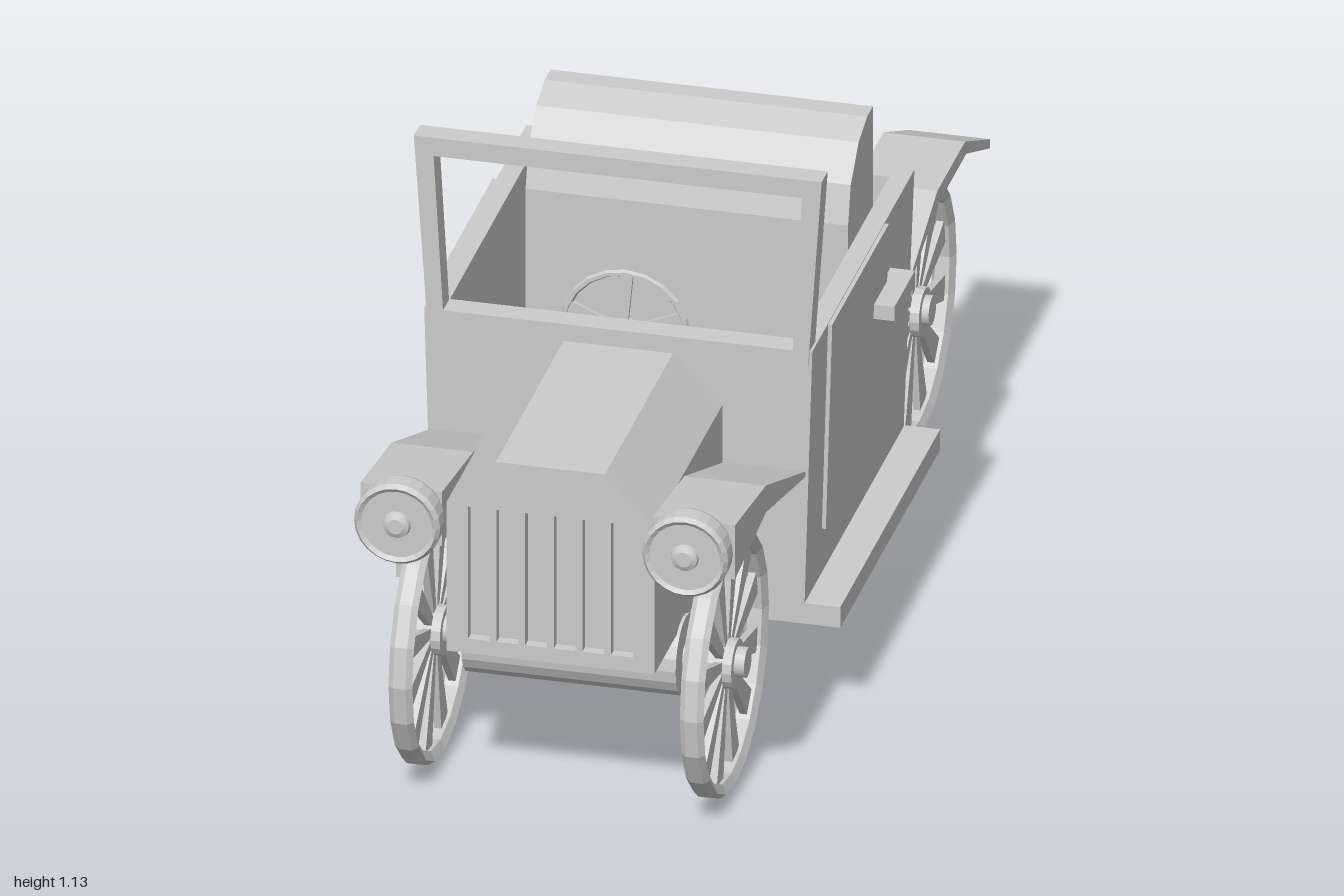
import * as THREE from 'three';

const material = new THREE.MeshStandardMaterial({ color: 0xcccccc, flatShading: true });
const smooth = new THREE.MeshStandardMaterial({ color: 0xcccccc });

function add(parent, name, geometry, mat = material) {
  const mesh = new THREE.Mesh(geometry, mat);
  mesh.name = name;
  parent.add(mesh);
  return mesh;
}

const polygon = (pts) => new THREE.Shape(pts.map(([x, y]) => new THREE.Vector2(x, y)));
const rect = (x0, y0, x1, y1) => polygon([[x0, y0], [x1, y0], [x1, y1], [x0, y1]]);
const extrude = (shape, depth) =>
  new THREE.ExtrudeGeometry(shape, { depth, bevelEnabled: false });

// Box given by its two corners
function box(x0, y0, z0, x1, y1, z1) {
  return new THREE.BoxGeometry(x1 - x0, y1 - y0, z1 - z0)
    .translate((x0 + x1) / 2, (y0 + y1) / 2, (z0 + z1) / 2);
}

// Side profile of [z, y] points, extruded from x0 to x1
function sideProfile(pts, x0, x1) {
  return extrude(polygon(pts), x1 - x0).rotateY(-Math.PI / 2).translate(x1, 0, 0);
}

// Cylinder lying across the car
function crossCylinder(radius, length, sides) {
  return new THREE.CylinderGeometry(radius, radius, length, sides).rotateZ(Math.PI / 2);
}

// Lean body sides and rear outward with height
function taper(geometry) {
  const p = geometry.attributes.position;
  for (let i = 0; i < p.count; i++) {
    const t = (p.getY(i) - 0.2) / 0.57;
    p.setX(i, p.getX(i) * (0.957 + 0.043 * t));
    if (p.getZ(i) < -0.3) p.setZ(i, p.getZ(i) - 0.025 * t);
  }
  geometry.computeVertexNormals();
  return geometry;
}

// Flat spoke pointing up, wider at the rim
function spokeGeometry(r0, r1, w0, w1, depth) {
  return extrude(polygon([[-w0, r0], [w0, r0], [w1, r1], [-w1, r1]]), depth)
    .translate(0, 0, -depth / 2);
}

function makeWheel() {
  const wheel = new THREE.Group();
  wheel.name = 'wheel';
  const profile = [[0.23, -0.014], [0.248, -0.023], [0.257, -0.012], [0.257, 0.012],
    [0.248, 0.023], [0.23, 0.014], [0.23, -0.014]].map(([r, h]) => new THREE.Vector2(r, h));
  add(wheel, 'tyre', new THREE.LatheGeometry(profile, 20).rotateZ(Math.PI / 2));
  add(wheel, 'hub', crossCylinder(0.048, 0.05, 16));
  for (let i = 0; i < 12; i++) {
    const spoke = spokeGeometry(0.035, 0.238, 0.008, 0.026, 0.014)
      .rotateY(Math.PI / 2).rotateX((i + 0.5) * Math.PI / 6);
    add(wheel, 'spoke', spoke);
  }
  return wheel;
}

function makeSteeringWheel() {
  const group = new THREE.Group();
  group.name = 'steeringWheel';
  add(group, 'steeringRim', new THREE.TorusGeometry(0.119, 0.007, 6, 20));
  add(group, 'steeringHub', new THREE.CylinderGeometry(0.022, 0.022, 0.024, 12).rotateX(Math.PI / 2));
  for (let i = 0; i < 5; i++) {
    add(group, 'steeringSpoke', spokeGeometry(0.012, 0.117, 0.005, 0.015, 0.008)
      .rotateZ(i * Math.PI * 2 / 5));
  }
  group.position.set(0, 0.742, 0.345);
  return group;
}

export function createModel() {
  const car = new THREE.Group();
  car.name = 'car';

  // Open cabin with floor and running boards
  const plan = rect(-0.373, -0.4, 0.373, 0.35);
  plan.holes.push(rect(-0.335, -0.355, 0.335, 0.31));
  add(car, 'cabin', taper(extrude(plan, 0.57).rotateX(-Math.PI / 2).translate(0, 0.2, 0)));
  add(car, 'runningBoard', box(-0.427, 0.2, -0.357, 0.427, 0.243, 0.4));

  // Windscreen frame
  const screen = polygon([[-0.366, 0.74], [0.366, 0.74], [0.392, 1.128], [-0.392, 1.128]]);
  screen.holes.push(polygon([[-0.336, 0.77], [0.336, 0.77], [0.354, 1.09], [-0.354, 1.09]]));
  add(car, 'windscreenFrame', extrude(screen, 0.046).translate(0, 0, 0.358));

  // Seat
  add(car, 'seatCushion', box(-0.31, 0.24, -0.32, 0.31, 0.5, 0.15));
  add(car, 'seatBack', sideProfile([[-0.308, 0.48], [-0.12, 0.48], [-0.12, 0.77], [-0.14, 0.845],
    [-0.2, 0.905], [-0.265, 0.927], [-0.308, 0.927]], -0.31, 0.31));
  car.add(makeSteeringWheel());

  // Bonnet with a slotted front plate
  const section = [[-0.2, 0.327], [0.2, 0.327], [0.2, 0.637], [0.105, 0.733], [-0.105, 0.733], [-0.2, 0.637]];
  add(car, 'bonnet', extrude(polygon(section), 0.495).translate(0, 0, 0.4));
  const grille = polygon(section);
  for (let i = 0; i < 6; i++) {
    const x = (i - 2.5) * 0.055;
    grille.holes.push(rect(x - 0.021, 0.357, x + 0.021, 0.633));
  }
  add(car, 'grille', extrude(grille, 0.02).translate(0, 0, 0.895));

  // Boot
  add(car, 'boot', box(-0.205, 0.33, -0.91, 0.205, 0.485, -0.35));

  // Axles with central drums, and wheels
  for (const [z, y, shift] of [[0.7, 0.257, 0], [-0.7, 0.305, 0.006]]) {
    add(car, 'axle', crossCylinder(0.029, 0.65, 16).translate(0, y + 0.005, z), smooth);
    add(car, 'axleDrum', crossCylinder(0.078, 0.412, 20).translate(0, y + 0.007, z));
    for (const side of [-1, 1]) {
      const wheel = makeWheel();
      wheel.position.set(side * 0.28 + shift, y, z);
      car.add(wheel);
    }
  }

  const frontFender = [[0.4, 0.507], [0.7, 0.58], [0.935, 0.555], [0.935, 0.668], [0.7, 0.636], [0.4, 0.518]];
  const rearFender = [[-0.35, 0.505], [-0.6, 0.583], [-0.82, 0.583], [-1, 0.506],
    [-1, 0.525], [-0.81, 0.613], [-0.6, 0.613], [-0.35, 0.515]];
  const lampProfile = [[0, 0.925], [0.06, 0.925], [0.077, 0.935], [0.083, 0.95], [0.083, 0.985],
    [0.076, 0.994], [0.068, 0.988], [0.027, 0.988], [0.025, 0.995], [0.015, 1], [0, 1]]
    .map(([r, z]) => new THREE.Vector2(r, z));

  for (const side of [-1, 1]) {
    const x0 = side > 0 ? 0.203 : -0.36;
    add(car, 'frontFender', sideProfile(frontFender, x0, x0 + 0.157));
    add(car, 'rearFender', sideProfile(rearFender, x0, x0 + 0.157));
    add(car, 'headlamp', new THREE.LatheGeometry(lampProfile, 24)
      .rotateX(Math.PI / 2).translate(side * 0.277, 0.617, 0));

    // Door panel and handle
    const d0 = side > 0 ? 0.365 : -0.381;
    add(car, 'door', taper(box(d0, 0.34, -0.15, d0 + 0.016, 0.768, 0.28)));
    const h0 = side > 0 ? 0.36 : -0.417;
    add(car, 'doorHandle', box(h0, 0.618, -0.205, h0 + 0.057, 0.648, -0.05));
  }
  return car;
}
